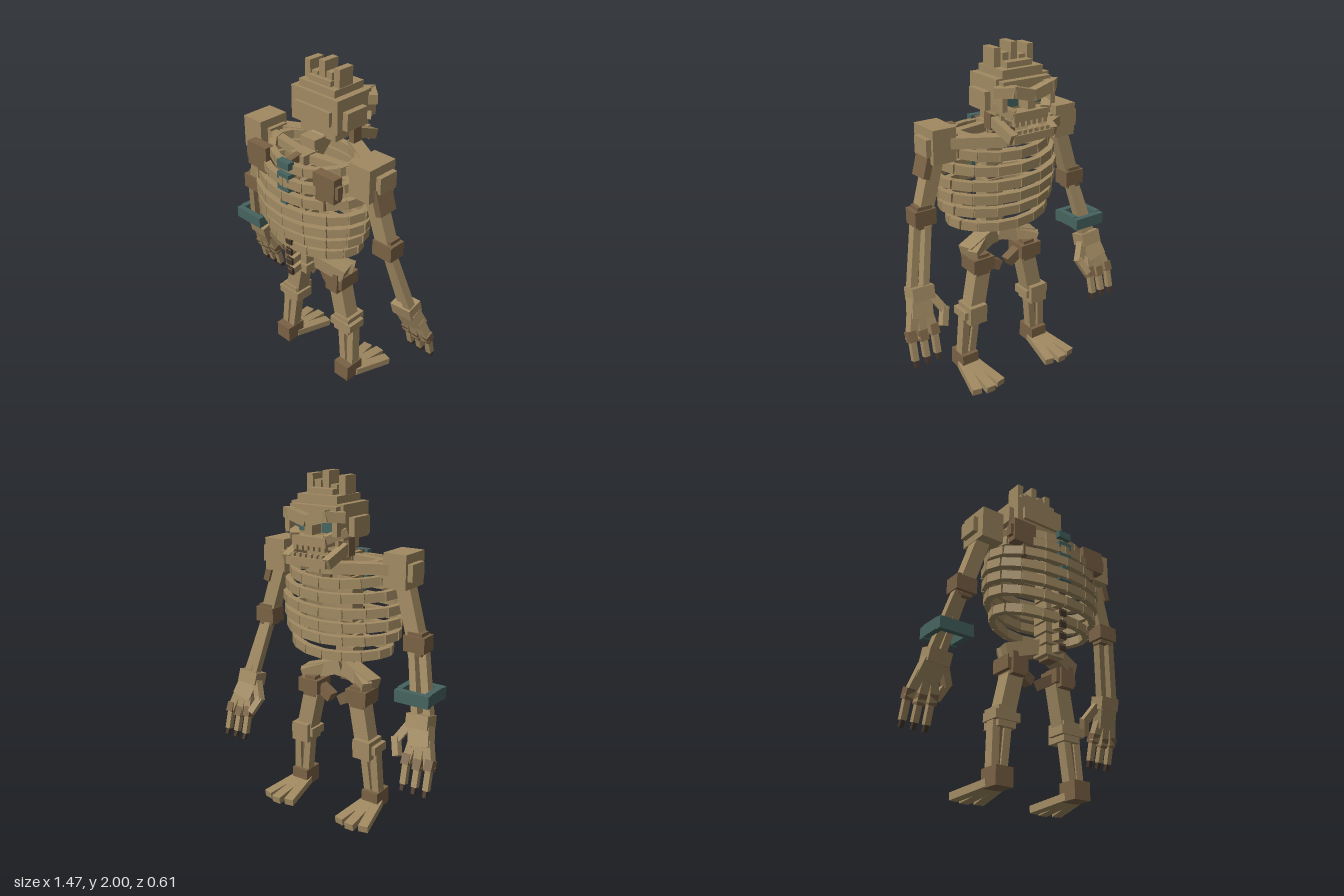
import * as THREE from 'three';

const mat = (name, color) => Object.assign(new THREE.MeshStandardMaterial({ color }), { name });

export function createModel() {
  const bone = mat('bone', 0xa18a62), brown = mat('dark bone', 0x7a6245);
  const teal = mat('teal', 0x46645f), dark = mat('dark tip', 0x43342a);
  const root = new THREE.Group();
  root.name = 'skeleton';
  const group = (name) => {
    const g = new THREE.Group();
    g.name = name;
    root.add(g);
    return g;
  };

  // Box given by its min and max on each axis
  const box = (g, name, m, x0, x1, y0, y1, z0, z1) => {
    const mesh = new THREE.Mesh(new THREE.BoxGeometry(Math.abs(x1 - x0), y1 - y0, z1 - z0), m);
    mesh.position.set((x0 + x1) / 2, (y0 + y1) / 2, (z0 + z1) / 2);
    mesh.name = name;
    g.add(mesh);
    return mesh;
  };

  // Square bar from a to b; d is measured along ref, w across it
  const beam = (g, name, m, a, b, w, d, ref = [0, 0, 1]) => {
    const p = new THREE.Vector3(...a), q = new THREE.Vector3(...b);
    const y = q.clone().sub(p), len = y.length();
    y.normalize();
    const x = new THREE.Vector3().crossVectors(y, new THREE.Vector3(...ref)).normalize();
    const z = new THREE.Vector3().crossVectors(x, y);
    const mesh = new THREE.Mesh(new THREE.BoxGeometry(w, len, d), m);
    mesh.quaternion.setFromRotationMatrix(new THREE.Matrix4().makeBasis(x, y, z));
    mesh.position.copy(p).add(q).multiplyScalar(0.5);
    mesh.name = name;
    g.add(mesh);
    return mesh;
  };
  const UP = [0, 1, 0];

  // Skull, stacked in steps
  const head = group('head');
  box(head, 'cranium', bone, -0.17, 0.17, 1.65, 1.84, -0.19, 0.05);
  box(head, 'skullBack', bone, -0.13, 0.13, 1.69, 1.77, -0.1, 0.07);
  box(head, 'temples', bone, -0.205, 0.205, 1.67, 1.77, -0.14, 0.01);
  box(head, 'forehead', bone, -0.15, 0.15, 1.75, 1.83, -0.23, -0.1);
  box(head, 'skullTop', bone, -0.13, 0.13, 1.84, 1.88, -0.19, 0.03);
  box(head, 'skullCap', bone, -0.08, 0.08, 1.88, 1.91, -0.16, 0.01);
  box(head, 'skullBase', bone, -0.13, 0.13, 1.59, 1.65, -0.18, 0.02);
  [1.98, 1.93, 2.0, 1.95, 1.98].forEach((top, i) => {
    const x = (i - 2) * 0.053;
    box(head, 'crownSpike', bone, x - 0.02, x + 0.02, 1.84, top, -0.11, -0.01);
  });

  // Face and jaw
  box(head, 'noseBridge', bone, -0.025, 0.025, 1.68, 1.78, -0.27, -0.17);
  box(head, 'upperJaw', bone, -0.11, 0.11, 1.62, 1.67, -0.27, -0.15);
  box(head, 'chin', bone, -0.13, 0.13, 1.515, 1.56, -0.3, -0.25);
  for (let i = 0; i < 6; i++) {
    const x = (i - 2.5) * 0.037;
    box(head, 'upperTooth', bone, x - 0.012, x + 0.012, 1.595, 1.63, -0.27, -0.24);
    box(head, 'lowerTooth', bone, x - 0.012, x + 0.012, 1.55, 1.58, -0.29, -0.265);
  }
  for (const s of [-1, 1]) {
    beam(head, 'brow', bone, [0, 1.755, -0.275], [s * 0.13, 1.79, -0.27], 0.06, 0.05);
    beam(head, 'browSide', bone, [s * 0.1, 1.785, -0.275], [s * 0.185, 1.78, -0.2], 0.06, 0.055, UP);
    box(head, 'eye', teal, s * 0.035, s * 0.14, 1.685, 1.755, -0.2, -0.193);
    beam(head, 'cheek', bone, [s * 0.1, 1.66, -0.255], [s * 0.175, 1.7, -0.17], 0.05, 0.045, UP);
    box(head, 'eyeSide', bone, s * 0.14, s * 0.17, 1.68, 1.77, -0.25, -0.17);
    beam(head, 'jawSide', bone, [s * 0.145, 1.61, -0.12], [s * 0.13, 1.54, -0.29], 0.045, 0.055, UP);
    box(head, 'jawHinge', brown, s * 0.135, s * 0.17, 1.56, 1.66, -0.14, -0.08);
  }

  // Spine: vertebrae with spines, the upper ones capped in teal
  const spine = group('spine');
  beam(spine, 'neck', bone, [0, 1.62, -0.05], [0, 1.49, 0.08], 0.09, 0.08);
  box(spine, 'neckBase', bone, -0.055, 0.055, 1.54, 1.6, 0.0, 0.1);
  for (let i = 0; i < 11; i++) {
    const y = 1.505 - i * 0.07, w = 0.05 + i * 0.0015;
    box(spine, 'vertebra', bone, -w, w, y - 0.028, y + 0.028, 0.07, 0.18);
    box(spine, 'disc', brown, -0.035, 0.035, y - 0.045, y - 0.025, 0.08, 0.16);
    const end = 0.255 - Math.max(0, i - 8) * 0.003;
    beam(spine, 'vertebraSpine', i < 5 ? brown : bone, [0, y + 0.012, 0.16], [0, y - 0.005, end], 0.04, 0.042, UP);
    const half = i < 5 ? (i % 2 && i > 1 ? 0.025 : 0.043) : 0.021;
    box(spine, 'spineTip', i < 5 ? teal : dark, -half, half, y - 0.021, y + 0.021,
      end - 0.012, i < 5 ? 0.285 : end + 0.003);
  }

  // Rib rings: [height, half width, back z, front z]
  const ribs = group('ribCage');
  [[1.48, 0.27, 0.25, -0.16], [1.405, 0.32, 0.28, -0.175], [1.325, 0.355, 0.29, -0.18], [1.24, 0.375, 0.295, -0.18],
    [1.16, 0.37, 0.29, -0.175], [1.08, 0.355, 0.275, -0.165], [0.985, 0.315, 0.24, -0.15],
  ].forEach(([y, rx, back, front]) => {
    const n = 16, cz = (back + front) / 2, rz = (back - front) / 2 - 0.01;
    const at = (i) => {
      const t = (i / n) * Math.PI * 2;
      return [Math.sin(t) * rx, y + 0.025 * Math.sin(t) ** 2, cz + Math.cos(t) * rz];
    };
    for (let i = 0; i < n; i++) beam(ribs, 'rib', bone, at(i), at(i + 1), 0.038, 0.052, UP);
  });

  // Everything that comes in pairs
  for (const s of [-1, 1]) {
    const side = s > 0 ? 'left' : 'right';
    const P = (x, y, z) => [s * x, y, z];

    // Shoulder girdle
    const sh = group(side + 'Shoulder');
    beam(sh, 'collarBone', bone, P(0.4, 1.5, 0), P(0.09, 1.5, -0.17), 0.075, 0.06, UP);
    beam(sh, 'upperBackBone', bone, P(0.38, 1.5, 0.05), P(0.04, 1.5, 0.11), 0.05, 0.05, UP);
    box(sh, 'shoulderBlade', brown, s * 0.18, s * 0.33, 1.38, 1.52, 0.18, 0.24);
    box(sh, 'shoulderBladeTip', brown, s * 0.19, s * 0.26, 1.31, 1.4, 0.19, 0.235);
    box(sh, 'shoulderBladeEdge', brown, s * 0.28, s * 0.35, 1.41, 1.48, 0.195, 0.23);
    box(sh, 'shoulderBlock', bone, s * 0.335, s * 0.475, 1.4, 1.59, -0.06, 0.135);
    box(sh, 'shoulderCap', bone, s * 0.31, s * 0.505, 1.445, 1.54, -0.04, 0.085);

    // Arm
    const arm = group(side + 'Arm');
    beam(arm, 'upperArm', bone, P(0.41, 1.46, 0.035), P(0.525, 1.08, 0.015), 0.085, 0.08);
    if (s > 0) beam(arm, 'armPlate', brown, [0.465, 1.46, 0.035], [0.505, 1.32, 0.03], 0.04, 0.12);
    box(arm, 'elbow', brown, s * 0.455, s * 0.585, 1.06, 1.15, -0.035, 0.07);
    box(arm, 'elbowCore', brown, s * 0.475, s * 0.565, 1.04, 1.17, -0.025, 0.05);
    beam(arm, 'forearmInner', bone, P(0.5, 1.08, 0), P(0.58, 0.7, -0.08), 0.04, 0.05);
    beam(arm, 'forearmOuter', bone, P(0.55, 1.08, 0.03), P(0.645, 0.7, -0.06), 0.045, 0.05);

    // Hand with three fingers and a thumb
    const hand = group(side + 'Hand');
    beam(hand, 'wrist', bone, P(0.6, 0.735, -0.065), P(0.605, 0.66, -0.085), 0.135, 0.1);
    beam(hand, 'palm', bone, P(0.61, 0.67, -0.08), P(0.635, 0.57, -0.125), 0.13, 0.07);
    [0.57, 0.64, 0.71].forEach((x, i) => {
      const dy = i === 1 ? -0.015 : 0;
      beam(hand, 'fingerBase', bone, P(0.59 + i * 0.04, 0.61, -0.11), P(x, 0.475 + dy, -0.155), 0.05, 0.05);
      beam(hand, 'knuckle', brown, P(x, 0.52 + dy, -0.14), P(x, 0.465 + dy, -0.165), 0.048, 0.055);
      beam(hand, 'fingerEnd', bone, P(x, 0.48 + dy, -0.16), P(x + 0.002, 0.36, -0.19), 0.034, 0.034);
      beam(hand, 'fingerTip', dark, P(x, 0.37, -0.188), P(x + 0.002, 0.325, -0.205), 0.022, 0.025);
    });
    beam(hand, 'thumbBase', bone, P(0.55, 0.68, -0.09), P(0.49, 0.58, -0.14), 0.045, 0.045);
    beam(hand, 'thumbEnd', bone, P(0.485, 0.6, -0.135), P(0.525, 0.51, -0.185), 0.04, 0.04);

    // Pelvis and hip
    const hip = group(side + 'Hip');
    beam(hip, 'hipBone', bone, P(0.02, 0.85, 0.08), P(0.235, 0.79, 0.02), 0.085, 0.1);
    beam(hip, 'hipWing', bone, P(0.11, 0.83, 0.04), P(0.23, 0.79, -0.04), 0.06, 0.07, UP);
    beam(hip, 'lowerHipBone', brown, P(0.14, 0.73, 0), P(0.03, 0.67, -0.01), 0.06, 0.06);
    box(hip, 'hipJoint', brown, s * 0.1, s * 0.24, 0.685, 0.77, -0.07, 0.07);
    box(hip, 'hipCore', brown, s * 0.125, s * 0.215, 0.66, 0.79, -0.055, 0.085);

    // Leg
    const leg = group(side + 'Leg');
    beam(leg, 'thigh', bone, P(0.155, 0.72, 0), P(0.22, 0.41, -0.01), 0.1, 0.095);
    box(leg, 'knee', bone, s * 0.145, s * 0.305, 0.395, 0.445, -0.06, 0.06);
    box(leg, 'kneeCap', bone, s * 0.165, s * 0.28, 0.36, 0.475, -0.085, 0.05);
    beam(leg, 'shinInner', bone, P(0.2, 0.4, 0), P(0.235, 0.1, 0.01), 0.045, 0.06);
    beam(leg, 'shinOuter', bone, P(0.275, 0.4, -0.005), P(0.29, 0.1, 0.01), 0.045, 0.06);
    beam(leg, 'shinMiddle', brown, P(0.235, 0.4, 0), P(0.262, 0.1, 0.015), 0.03, 0.03);

    // Foot with three spread toes
    const foot = group(side + 'Foot');
    box(foot, 'ankle', brown, s * 0.205, s * 0.315, 0.035, 0.14, -0.045, 0.085);
    [[0.23, 0.185, -0.255], [0.26, 0.268, -0.275], [0.295, 0.35, -0.25]].forEach(([x0, x1, z]) => {
      beam(foot, 'toe', bone, P(x0, 0.06, 0), P(x1, 0.025, z), 0.058, 0.042, UP);
    });
  }

  // Square bracelet on the right forearm
  const band = group('bracelet');
  box(band, 'braceletBack', teal, -0.675, -0.465, 0.8, 0.87, 0.035, 0.07);
  box(band, 'braceletFront', teal, -0.675, -0.465, 0.8, 0.87, -0.135, -0.1);
  box(band, 'braceletOuter', teal, -0.675, -0.64, 0.805, 0.875, -0.1, 0.035);
  box(band, 'braceletInner', teal, -0.5, -0.465, 0.805, 0.875, -0.1, 0.035);
  return root;
}
